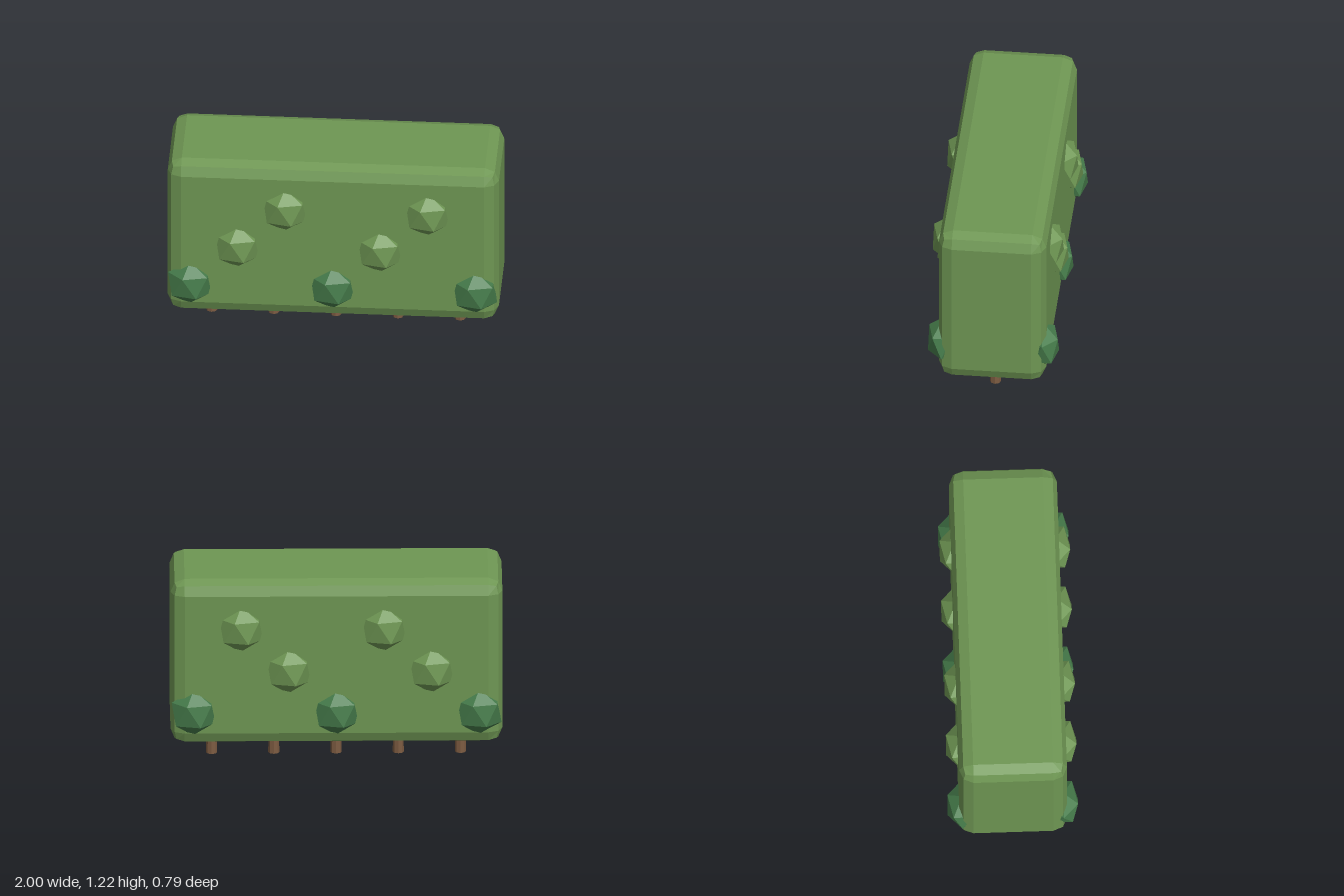
import * as THREE from 'three';
import { RoundedBoxGeometry } from 'three/addons/geometries/RoundedBoxGeometry.js';

const flatMaterial = (name, color) => {
  const m = new THREE.MeshStandardMaterial({ color, flatShading: true });
  m.name = name;
  return m;
};

export function createModel() {
  const group = new THREE.Group();
  group.name = 'hedge';
  const leaf = flatMaterial('leafGreen', 0x6e9653);
  const darkLeaf = flatMaterial('darkLeafGreen', 0x467c4b);
  const bark = flatMaterial('barkBrown', 0x7c5b41);

  const add = (name, geometry, material, x, y, z) => {
    const mesh = new THREE.Mesh(geometry, material);
    mesh.name = name;
    mesh.position.set(x, y, z);
    group.add(mesh);
    return mesh;
  };

  // Clipped block of foliage with faceted, rounded edges
  const block = new RoundedBoxGeometry(2, 1.056, 0.65, 1, 0.085);
  block.computeVertexNormals();
  add('foliageBlock', block, leaf, 0, 0.693, 0);

  // Row of short tapered stems
  const stem = new THREE.CylinderGeometry(0.028, 0.034, 0.25, 8);
  for (let i = -2; i <= 2; i++) add('stem', stem, bark, i * 0.375, 0.125, 0);

  // Faceted leaf tufts in a repeating diagonal pattern, on front and back
  const tuft = new THREE.IcosahedronGeometry(0.148, 0);
  tuft.rotateZ(Math.atan(0.618)); // stand it on a point
  tuft.scale(1, 1, 0.7);
  tuft.computeVertexNormals();
  for (let i = 0; i < 7; i++) {
    const row = i % 3;
    for (const side of [1, -1]) {
      const mesh = add(side > 0 ? 'frontTuft' : 'backTuft', tuft, row === 0 ? darkLeaf : leaf,
        (i - 3) * 0.287, 0.377 + row * 0.27, side * 0.305);
      if (side < 0) mesh.rotation.y = Math.PI;
    }
  }
  return group;
}
